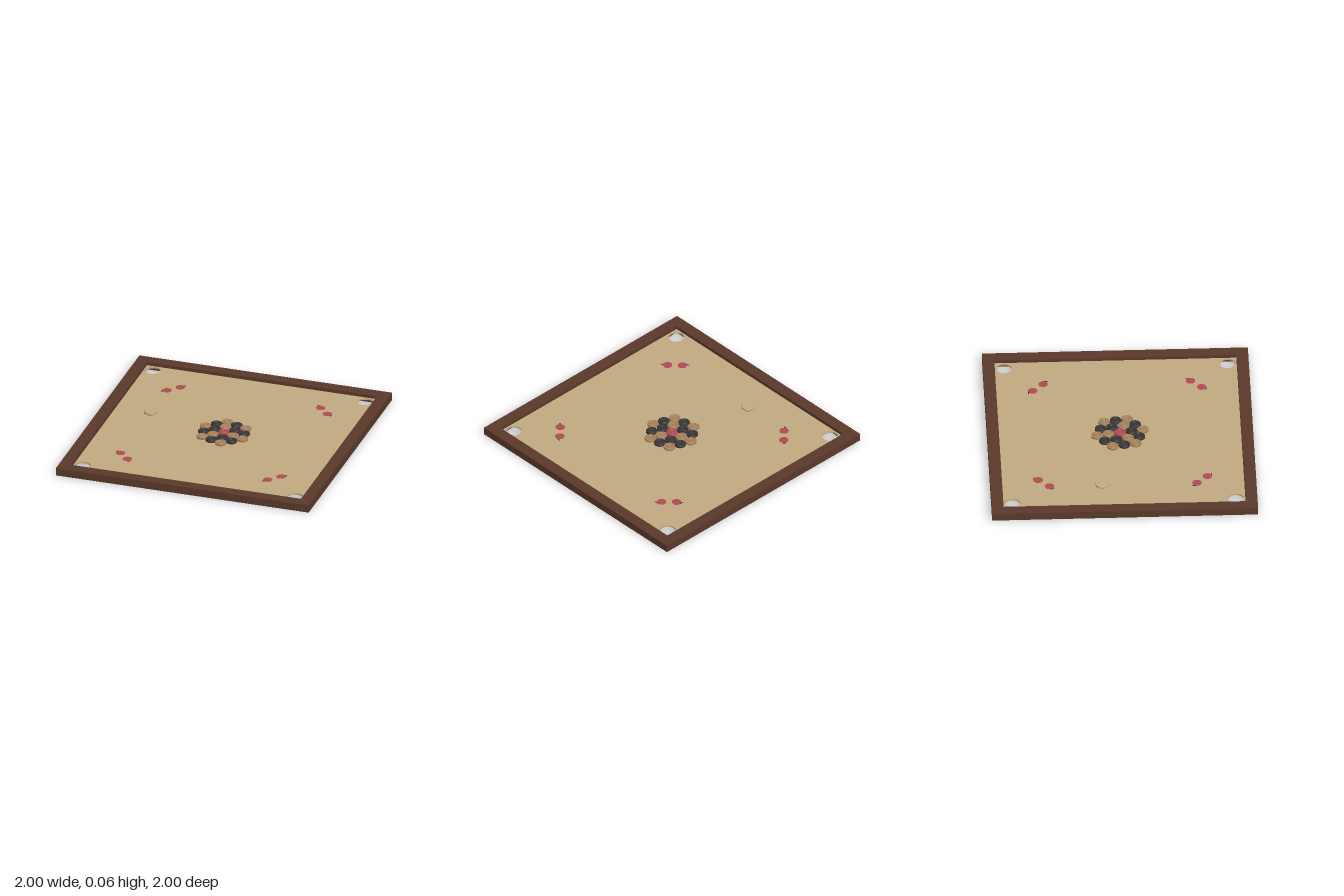
import * as THREE from 'three';

const mat = (name, color, side = THREE.FrontSide) => {
  const m = new THREE.MeshStandardMaterial({ color, side });
  m.name = name;
  return m;
};

export function createModel() {
  const group = new THREE.Group();
  const wood = mat('dark wood', 0x5a392b);
  const ply = mat('pale plywood', 0xc2aa82);
  const tan = mat('tan wood', 0xa58258);
  const black = mat('black', 0x363434);
  const red = mat('red', 0xb34a54);

  const add = (name, geometry, material, x = 0, y = 0, z = 0) => {
    const mesh = new THREE.Mesh(geometry, material);
    mesh.name = name;
    mesh.position.set(x, y, z);
    group.add(mesh);
    return mesh;
  };
  const square = (Type, h) => new Type([
    new THREE.Vector2(-h, -h), new THREE.Vector2(h, -h),
    new THREE.Vector2(h, h), new THREE.Vector2(-h, h),
  ]);
  // Extrude a plan shape upwards from y = 0
  const slab = (shape, depth) =>
    new THREE.ExtrudeGeometry(shape, { depth, bevelEnabled: false, curveSegments: 32 }).rotateX(-Math.PI / 2);

  const FLOOR = 0.034;

  // Raised border frame
  const frame = square(THREE.Shape, 1);
  frame.holes.push(square(THREE.Path, 0.91));
  add('frame', slab(frame, 0.06), wood);

  // Playing surface with four corner pockets
  const board = square(THREE.Shape, 0.91);
  for (const x of [-0.84, 0.84]) for (const z of [-0.84, 0.84]) {
    const pocket = new THREE.Path();
    pocket.absarc(x, z, 0.058, 0, Math.PI * 2, true);
    board.holes.push(pocket);
  }
  add('playingSurface', slab(board, 0.012), ply, 0, FLOOR - 0.012, 0);

  // Bracing ribs underneath
  for (const s of [-1, 1]) {
    add('lengthwiseRib', new THREE.BoxGeometry(0.06, 0.022, 1.82), wood, s * 0.67, 0.011, 0);
    add('crosswiseRib', new THREE.BoxGeometry(1.82, 0.02, 0.06), wood, 0, 0.012, s * 0.67);
  }

  // Painted base circles with the tips of the base lines
  const dot = new THREE.CylinderGeometry(0.035, 0.035, 0.002, 32);
  for (const sx of [-1, 1]) for (const sz of [-1, 1]) {
    add('baseCircle', dot, red, sx * 0.635, FLOOR + 0.001, sz * 0.555);
    add('baseCircle', dot, red, sx * 0.555, FLOOR + 0.001, sz * 0.635);
    add('baseLineTip', new THREE.BoxGeometry(0.008, 0.001, 0.03), black, sx * 0.668, FLOOR + 0.0005, sz * 0.535);
    add('baseLineTip', new THREE.BoxGeometry(0.03, 0.001, 0.008), black, sx * 0.535, FLOOR + 0.0005, sz * 0.668);
  }
  add('centreCircle', new THREE.CylinderGeometry(0.09, 0.09, 0.002, 48), red, 0, FLOOR + 0.001, 0);

  // Turned disc with concentric grooves on its top
  const disc = (r, h) => {
    const profile = [
      [0, 0], [0.94, 0], [1, 0.12], [1, 0.88], [0.93, 1], [0.72, 1], [0.68, 0.86], [0.6, 0.86],
      [0.56, 1], [0.36, 1], [0.32, 0.86], [0.24, 0.86], [0.2, 1], [0, 1],
    ].map(([x, y]) => new THREE.Vector2(x * r, y * h));
    const g = new THREE.LatheGeometry(profile, 32).toNonIndexed();
    g.computeVertexNormals();
    return g;
  };
  const piece = disc(0.043, 0.018);
  const place = (name, material, r, degrees) => {
    const a = THREE.MathUtils.degToRad(degrees);
    add(name, piece, material, r * Math.cos(a), FLOOR, r * Math.sin(a));
  };

  // Central cluster: red piece, inner ring of six, outer ring of twelve
  place('redPiece', red, 0, 0);
  for (let i = 0; i < 6; i++) {
    const a = 20 + i * 60;
    place(i % 2 ? 'blackPiece' : 'tanPiece', i % 2 ? black : tan, 0.089, a);
    place('tanPiece', tan, 0.177, a);
    place('blackPiece', black, 0.153, a + 30);
  }

  // Plain striker resting on the left base line
  const striker = [[0, 0], [0.047, 0], [0.05, 0.003], [0.05, 0.017], [0.047, 0.02], [0, 0.02]]
    .map(([x, y]) => new THREE.Vector2(x, y));
  const strikerGeometry = new THREE.LatheGeometry(striker, 40).toNonIndexed();
  strikerGeometry.computeVertexNormals();
  add('striker', strikerGeometry, ply, -0.635, FLOOR, -0.16);

  return group;
}
